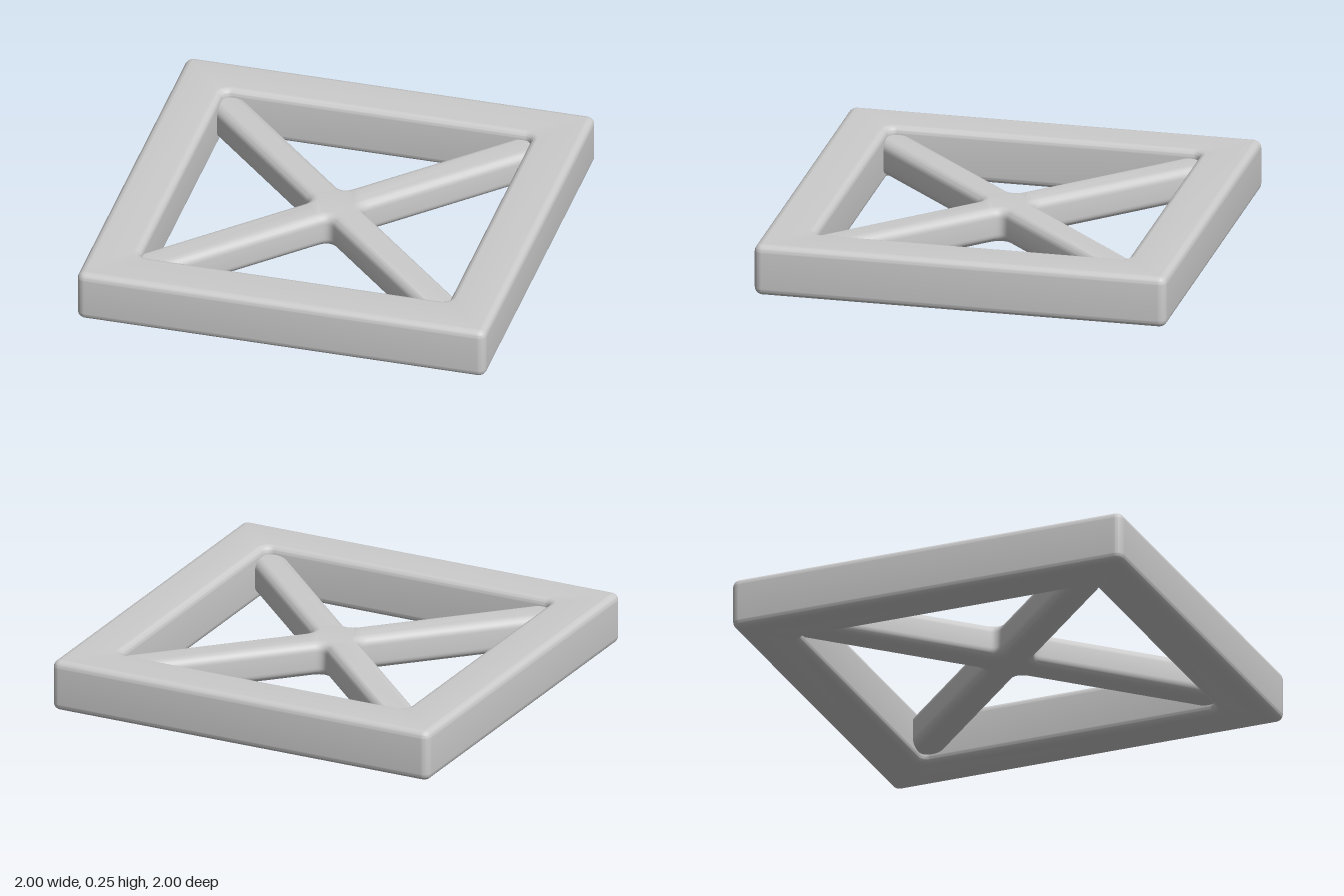
import * as THREE from 'three';
import { toCreasedNormals } from 'three/addons/utils/BufferGeometryUtils.js';

const material = new THREE.MeshStandardMaterial({ color: 0xcccccc });

// Square outline with rounded corners.
function roundedSquare(target, half, r) {
  const corners = [[1, -1], [1, 1], [-1, 1], [-1, -1]];
  corners.forEach(([sx, sy], i) => {
    const a = (i - 1) * Math.PI / 2;
    target.absarc(sx * (half - r), sy * (half - r), r, a, a + Math.PI / 2, false);
  });
  target.closePath();
  return target;
}

// Lays a flat outline down on y0..y1, with edges rounded inward.
function roundedSlab(name, shape, y0, y1, round) {
  const geometry = new THREE.ExtrudeGeometry(shape, {
    depth: y1 - y0 - 2 * round,
    bevelThickness: round,
    bevelSize: round,
    bevelOffset: -round,
    bevelSegments: 8,
    curveSegments: 8,
  });
  geometry.rotateX(-Math.PI / 2);
  geometry.translate(0, y0 + round, 0);
  const mesh = new THREE.Mesh(toCreasedNormals(geometry, 0.6), material);
  mesh.name = name;
  return mesh;
}

// Four-armed cross with small fillets where the arms meet.
function crossShape(halfWidth, length, fillet) {
  const shape = new THREE.Shape();
  const origin = new THREE.Vector2();
  const w = halfWidth, f = w + fillet;
  for (let i = 0; i < 4; i++) {
    const at = (x, y) => new THREE.Vector2(x, y).rotateAround(origin, i * Math.PI / 2);
    const tipA = at(length, -w), tipB = at(length, w);
    const start = at(f, w), corner = at(w, w), end = at(w, f);
    if (i === 0) shape.moveTo(tipA.x, tipA.y);
    else shape.lineTo(tipA.x, tipA.y);
    shape.lineTo(tipB.x, tipB.y);
    shape.lineTo(start.x, start.y);
    shape.quadraticCurveTo(corner.x, corner.y, end.x, end.y);
  }
  shape.closePath();
  return shape;
}

export function createModel() {
  const model = new THREE.Group();
  model.name = 'bracedFrame';

  // Outer square frame
  const frame = roundedSquare(new THREE.Shape(), 1, 0.04);
  frame.holes.push(roundedSquare(new THREE.Path(), 0.755, 0.04));
  model.add(roundedSlab('frame', frame, 0, 0.25, 0.035));

  // Diagonal braces, their ends buried in the frame corners
  const braces = roundedSlab('diagonalBraces', crossShape(0.085, 1.22, 0.05), 0.04, 0.21, 0.045);
  braces.rotation.y = Math.PI / 4;
  model.add(braces);

  return model;
}
